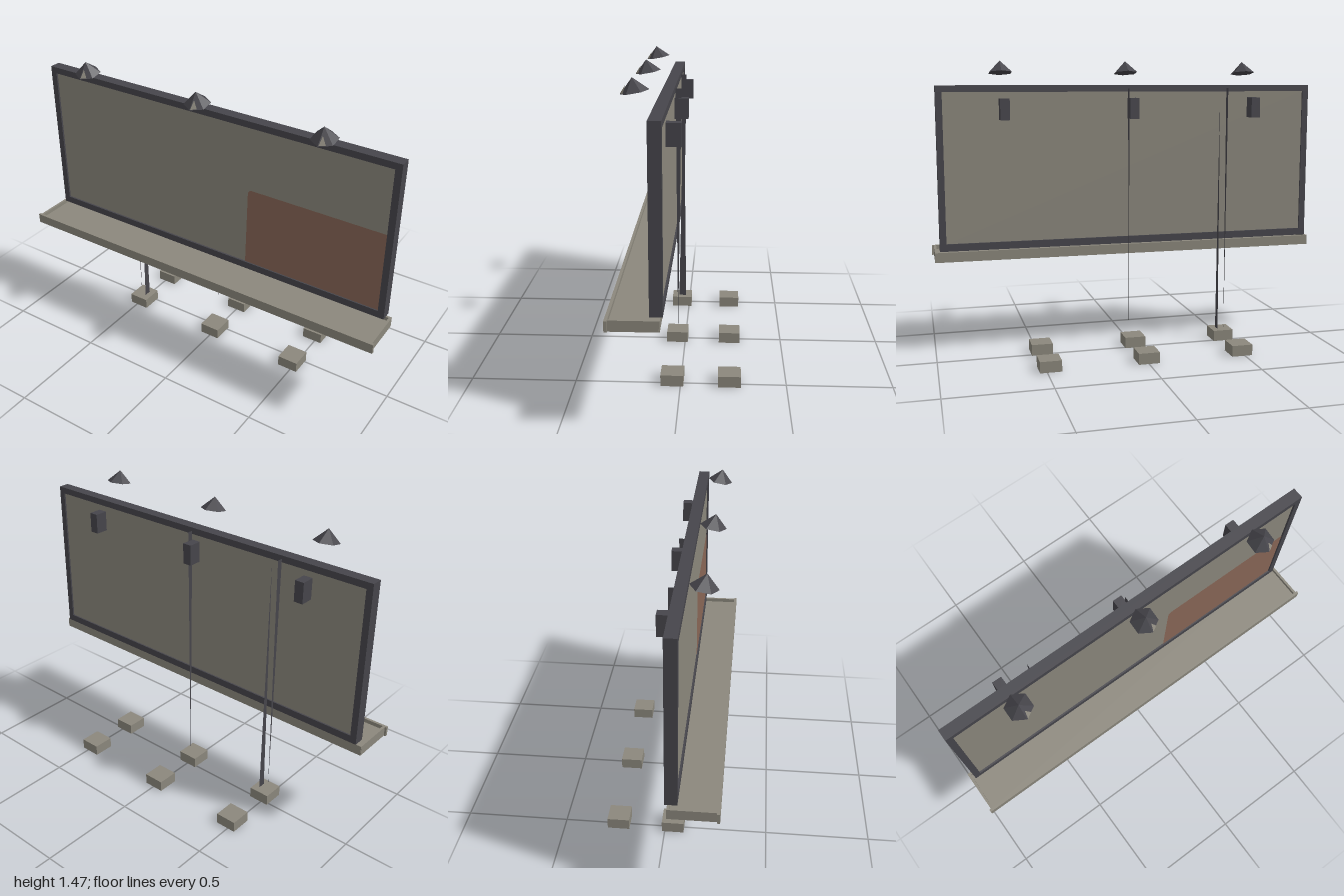
import * as THREE from 'three';

export function createModel() {
  const model = new THREE.Group();
  const mat = (name, color) => new THREE.MeshStandardMaterial({ name, color, flatShading: true });
  const steel = mat('dark steel', 0x46454b);
  const concrete = mat('warm grey', 0x8b877c);
  const red = mat('faded red', 0x886656);
  const sheet = mat('thin dark steel', 0x46454b);
  sheet.side = THREE.DoubleSide;

  const add = (name, geometry, material, parent = model) => {
    const mesh = new THREE.Mesh(geometry, material);
    mesh.name = name;
    parent.add(mesh);
    return mesh;
  };
  // Box given by its lower and upper corners
  const box = (name, material, [x0, y0, z0], [x1, y1, z1]) => {
    const mesh = add(name, new THREE.BoxGeometry(x1 - x0, y1 - y0, z1 - z0), material);
    mesh.position.set((x0 + x1) / 2, (y0 + y1) / 2, (z0 + z1) / 2);
    return mesh;
  };
  const triangle = (...points) => {
    const g = new THREE.BufferGeometry().setFromPoints(points.map((p) => new THREE.Vector3(...p)));
    g.computeVertexNormals();
    return g;
  };

  // Display board inside a rectangular frame
  box('board', concrete, [-0.935, 0.575, 0.055], [0.935, 1.315, 0.094]);
  box('frameTop', steel, [-0.967, 1.314, 0.047], [0.967, 1.346, 0.103]);
  box('frameBottom', steel, [-0.967, 0.541, 0.047], [0.967, 0.577, 0.103]);
  for (const s of [-1, 1]) {
    const side = box('frameSide', steel, [-0.016, 0.577, 0.047], [0.016, 1.314, 0.103]);
    side.position.x = s * 0.951;
  }

  // Painted patch in the lower corner of the board
  const patch = new THREE.Shape();
  patch.moveTo(0.217, 0.577);
  patch.lineTo(0.934, 0.577);
  patch.lineTo(0.934, 0.987);
  patch.lineTo(0.25, 0.987);
  patch.quadraticCurveTo(0.226, 0.987, 0.225, 0.96);
  add('paintedPatch', new THREE.ShapeGeometry(patch), red).position.z = 0.096;

  // Shallow walkway tray below the board
  box('walkwayFloor', concrete, [-0.99, 0.485, 0.062], [0.99, 0.515, 0.272]);
  box('walkwayFrontRim', concrete, [-1, 0.485, 0.272], [1, 0.534, 0.286]);
  box('walkwayBackRim', concrete, [-0.99, 0.485, 0.058], [0.99, 0.534, 0.07]);
  for (const s of [-1, 1]) {
    const rim = box('walkwayEndRim', concrete, [-0.006, 0.485, 0.062], [0.006, 0.534, 0.272]);
    rim.position.x = s * 0.985;
  }

  // Footings in two rows
  for (const x of [-0.486, -0.002, 0.482]) {
    for (const z of [0.04, -0.231]) {
      box('footing', concrete, [x - 0.053, 0, z - 0.054], [x + 0.053, 0.055, z + 0.054]);
    }
  }

  // Slender tapering post blades
  for (const x of [-0.505, 0.02]) {
    add('postBlade', triangle([x, 1.33, 0.047], [x, 1.33, 0.018], [x, 0.05, 0.038]), sheet);
  }
  add('postBlade', triangle([-0.465, 0.05, 0.057], [-0.465, 0.05, 0.018], [-0.465, 1.31, 0.03]), sheet);

  // Lamp shades over the top edge, with a bracket block behind each
  for (const x of [-0.645, 0, 0.643]) {
    box('bracket', steel, [x - 0.023, 1.18, -0.015], [x + 0.023, 1.283, 0.052]);

    const lamp = new THREE.Group();
    lamp.name = 'lamp';
    lamp.position.set(x, 1.4375, 0.186);
    lamp.rotation.x = 0.18;
    model.add(lamp);
    add('lampShade', new THREE.ConeGeometry(0.063, 0.061, 6), steel, lamp);
    // Pale glass pane lying on one facet
    add('lampPane', triangle([0.004, -0.027, 0.062], [0.03, -0.027, 0.047], [0.009, 0.006, 0.031]), concrete, lamp);
  }
  return model;
}
